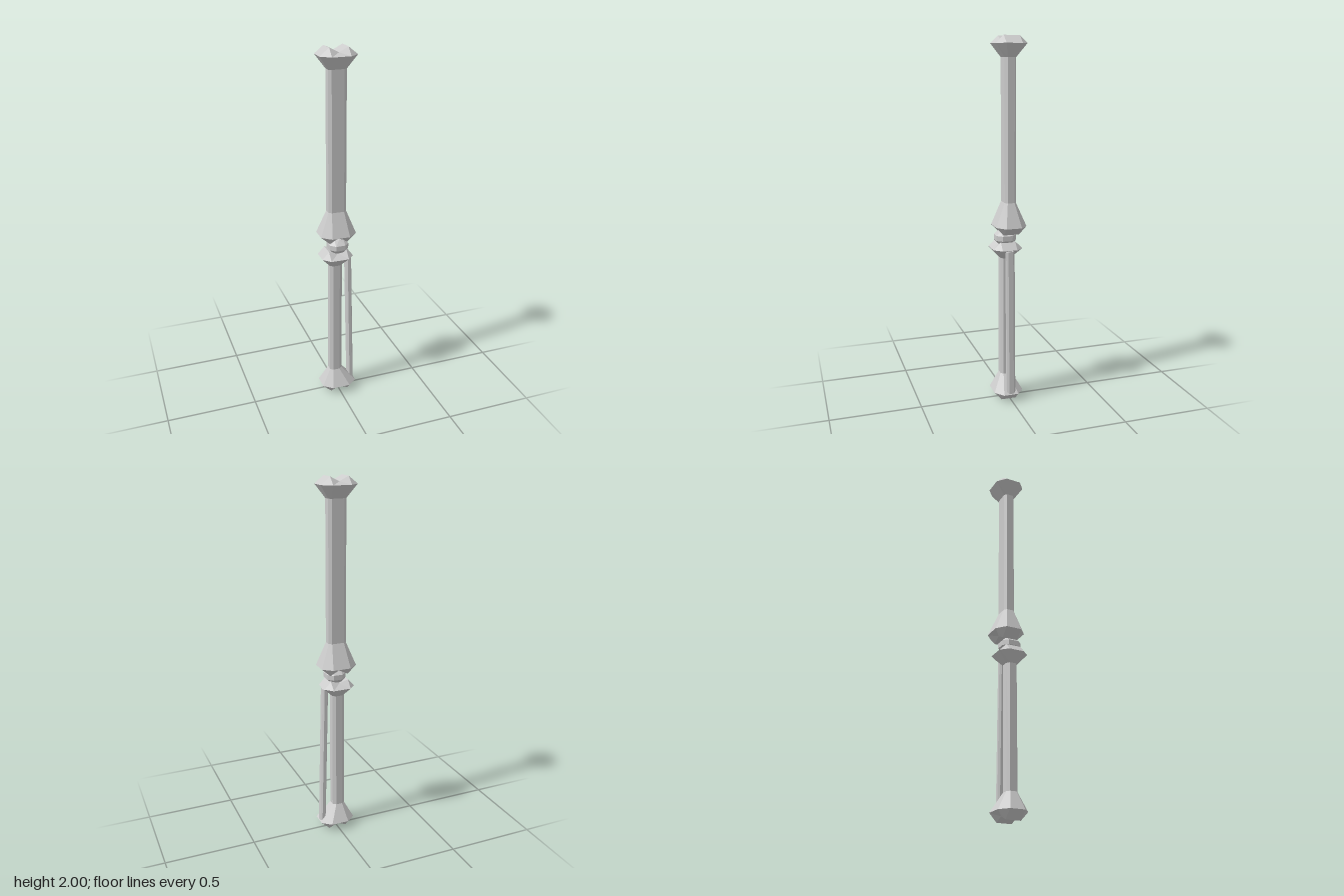
import * as THREE from 'three';

const material = new THREE.MeshStandardMaterial({ color: 0xcccccc, flatShading: true });

// Eight-sided section: half sizes hx, hz, with flats of half width fx, fz
function ring({ y, x = 0, z = 0, hx, hz, fx, fz }) {
  return [[hx, -fz], [hx, fz], [fx, hz], [-fx, hz], [-hx, fz], [-hx, -fz], [-fx, -hz], [fx, -hz]]
    .map(([px, pz]) => [x + px, y, z + pz]);
}

// Lofts sections from bottom to top and closes both ends with notched caps.
// Each cap is { peak, valley }: heights of the two knuckles and the groove between.
function bone(name, sections, bottomCap, topCap) {
  const out = [];
  const face = (pts, flip) => {
    for (let i = 1; i < pts.length - 1; i++) {
      const tri = [pts[0], pts[i], pts[i + 1]];
      (flip ? tri.reverse() : tri).forEach(p => out.push(...p));
    }
  };
  const rings = sections.map(ring);
  for (let k = 0; k < rings.length - 1; k++) {
    const a = rings[k], b = rings[k + 1];
    for (let i = 0; i < 8; i++) {
      const j = (i + 1) % 8;
      face([a[i], b[i], b[j], a[j]]);
    }
  }
  const cap = (R, s, { peak, valley }, flip) => {
    const { x = 0, z = 0, fx, fz } = s;
    const T = [[fx, -fz], [fx, fz], [-fx, fz], [-fx, -fz]].map(([px, pz]) => [x + px, peak, z + pz]);
    const front = [x, valley, z + fz], back = [x, valley, z - fz];
    [
      [R[0], T[0], T[1], R[1]], [R[1], T[1], R[2]],
      [front, T[2], R[3], R[2], T[1]], [R[3], T[2], R[4]],
      [R[4], T[2], T[3], R[5]], [R[5], T[3], R[6]],
      [back, T[0], R[7], R[6], T[3]], [R[7], T[0], R[0]],
      [front, T[1], T[0], back], [T[2], front, back, T[3]],
    ].forEach(f => face(f, flip));
  };
  const last = rings.length - 1;
  cap(rings[0], sections[0], bottomCap, true);
  cap(rings[last], sections[last], topCap, false);

  const geometry = new THREE.BufferGeometry();
  geometry.setAttribute('position', new THREE.Float32BufferAttribute(out, 3));
  geometry.computeVertexNormals();
  const mesh = new THREE.Mesh(geometry, material);
  mesh.name = name;
  return mesh;
}

export function createModel() {
  const group = new THREE.Group();
  group.name = 'legBones';

  // Thigh bone: slim shaft between two flared knuckles
  const thighEnd = { z: -0.008, hx: 0.1, hz: 0.085, fx: 0.05, fz: 0.043 };
  const thighShaft = { z: -0.006, hx: 0.05, hz: 0.031, fx: 0.034, fz: 0.019 };
  group.add(bone('thighBone', [
    { y: 1.0, ...thighEnd },
    { y: 1.13, ...thighShaft },
    { y: 1.89, ...thighShaft },
    { y: 1.96, ...thighEnd },
  ], { peak: 0.956, valley: 0.982 }, { peak: 2.0, valley: 1.975 }));

  // Kneecap: faceted ball set slightly forward
  const knee = { z: 0.014, hx: 0.053, hz: 0.055, fx: 0.026, fz: 0.028 };
  group.add(bone('kneecap', [
    { y: 0.922, ...knee },
    { y: 0.95, ...knee },
  ], { peak: 0.895, valley: 0.89 }, { peak: 0.972, valley: 0.977 }));

  // Shin bone: its shaft sits off centre to leave room for the outer bone
  const shinEnd = { z: 0.008, hx: 0.1, hz: 0.082, fx: 0.05, fz: 0.041 };
  const shinShaft = { z: 0.01, hx: 0.035, hz: 0.031, fx: 0.018, fz: 0.018 };
  group.add(bone('shinBone', [
    { y: 0.045, ...shinEnd },
    { y: 0.14, x: -0.015, ...shinShaft },
    { y: 0.82, x: -0.013, ...shinShaft },
    { y: 0.875, ...shinEnd, x: -0.01, hx: 0.088 },
  ], { peak: 0, valley: 0.023 }, { peak: 0.915, valley: 0.9 }));

  // Outer shin bone: thin leaning strut
  const strut = { z: 0.005, hx: 0.016, hz: 0.024, fx: 0.008, fz: 0.013 };
  group.add(bone('outerShinBone', [
    { y: 0.045, x: 0.081, ...strut },
    { y: 0.868, x: 0.063, ...strut },
  ], { peak: 0.04, valley: 0.04 }, { peak: 0.875, valley: 0.875 }));

  return group;
}
